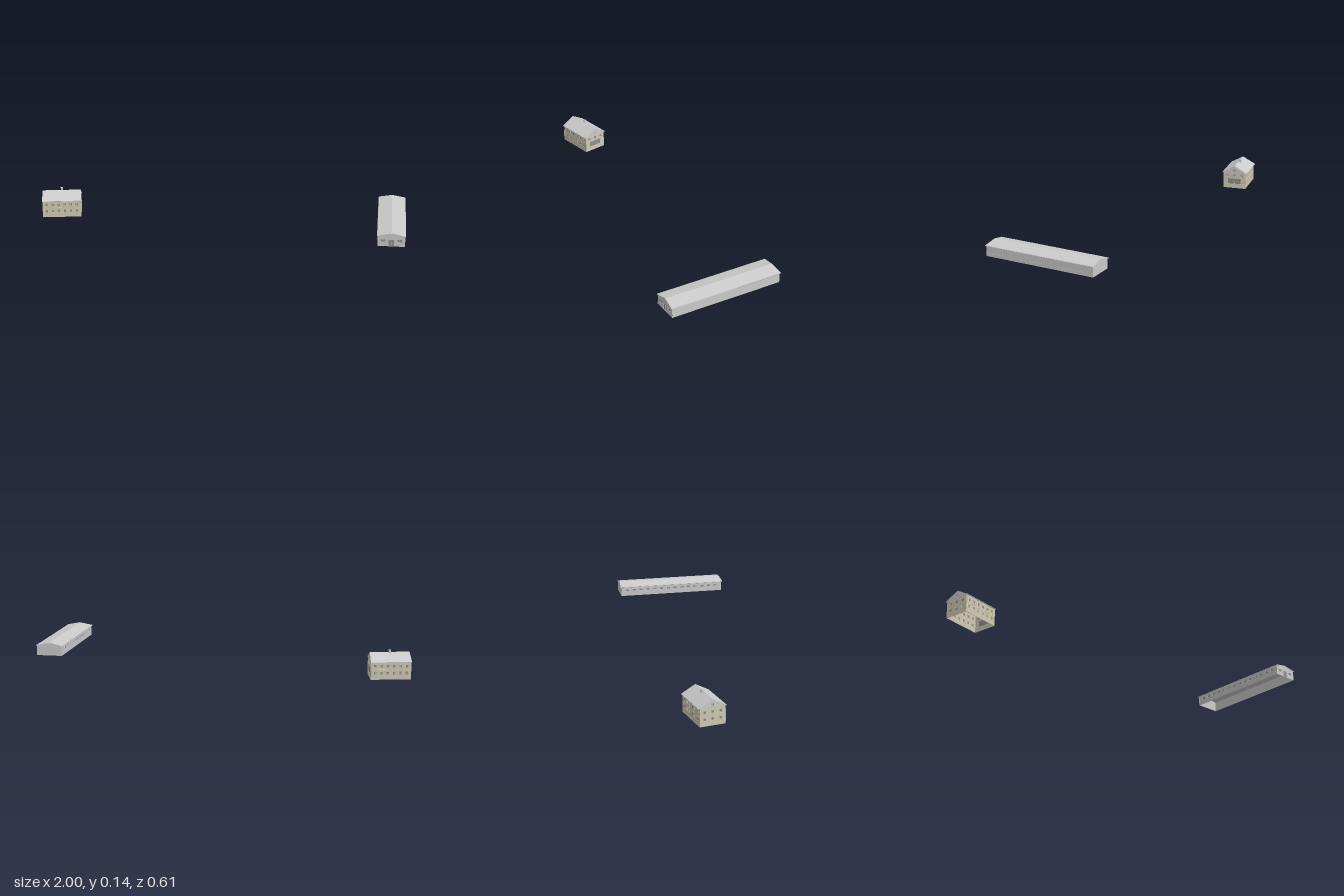
import * as THREE from 'three';

const grey = new THREE.MeshStandardMaterial({ color: 0xcccccc, side: THREE.DoubleSide });
const plaster = new THREE.MeshStandardMaterial({ color: 0xd0cab2, side: THREE.DoubleSide });
const glass = new THREE.MeshStandardMaterial({ color: 0x8c8f92, side: THREE.DoubleSide });

function add(parent, name, geometry, material, x = 0, y = 0, z = 0) {
  const mesh = new THREE.Mesh(geometry, material);
  mesh.name = name;
  mesh.position.set(x, y, z);
  parent.add(mesh);
  return mesh;
}
const box = (w, h, d) => new THREE.BoxGeometry(w, h, d);

// Flat wall facing +z with openings [x, y, w, h]; each opening gets a recessed pane and a mullion.
function wall(name, outline, openings, material) {
  const g = new THREE.Group();
  g.name = name;
  const shape = new THREE.Shape(outline.map(([x, y]) => new THREE.Vector2(x, y)));
  for (const [x, y, w, h] of openings) {
    const hole = new THREE.Path();
    hole.moveTo(x - w / 2, y - h / 2);
    hole.lineTo(x - w / 2, y + h / 2);
    hole.lineTo(x + w / 2, y + h / 2);
    hole.lineTo(x + w / 2, y - h / 2);
    hole.closePath();
    shape.holes.push(hole);
    add(g, 'windowPane', new THREE.PlaneGeometry(w, h), glass, x, y, -0.0015);
    add(g, 'mullion', box(0.001, h, 0.001), grey, x, y, -0.001);
  }
  const geo = new THREE.ExtrudeGeometry(shape, { depth: 0.002, bevelEnabled: false });
  add(g, 'wallPanel', geo, material, 0, 0, -0.002);
  return g;
}

// Gable roof with its ridge along x, a little shorter at the ridge than at the eaves.
function roof(length, ridgeLength, width, eaveY, rise, thick) {
  const geo = new THREE.BoxGeometry(length, thick, width, 1, 1, 2);
  const p = geo.attributes.position;
  for (let i = 0; i < p.count; i++) {
    if (Math.abs(p.getZ(i)) < 1e-6) {
      p.setY(i, p.getY(i) + rise);
      p.setX(i, p.getX(i) * ridgeLength / length);
    }
  }
  geo.translate(0, eaveY, 0);
  const flat = geo.toNonIndexed();
  flat.computeVertexNormals();
  return flat;
}

// Four walls, roof, gutters and corner downpipes; the ridge runs along local x.
function building(name, o) {
  const g = new THREE.Group();
  g.name = name;
  const { hl, hw, y0, y1, apex } = o;
  const rect = [[-hl, y0], [hl, y0], [hl, y1], [-hl, y1]];
  const end = [[-hw, y0], [hw, y0], [hw, y1], [-hw, y1]];
  const gable = [[-hw, y1], [hw, y1], [0, apex]];
  const sides = [
    ['frontWall', rect, o.front, hw, 0], ['backWall', rect, o.back, hw, Math.PI],
    ['leftEndWall', end, o.left, hl, Math.PI / 2], ['rightEndWall', end, o.right, hl, -Math.PI / 2],
  ];
  for (const [label, outline, openings, dist, turn] of sides) {
    const w = wall(label, outline, openings, o.material);
    w.rotation.y = turn;
    w.position.set(Math.sin(turn) * dist, 0, Math.cos(turn) * dist);
    g.add(w);
    if (outline === end) w.add(wall('gable', gable, o.gableWindows, grey));
  }
  add(g, 'roof', roof(o.roofL, o.ridgeL, o.roofW, o.eaveY, o.rise, 0.003), grey);
  for (const s of [-1, 1]) {
    const gutter = add(g, 'gutter', new THREE.CylinderGeometry(0.0016, 0.0016, o.roofL, 6), grey, 0, o.eaveY - 0.001, s * o.roofW / 2);
    gutter.rotation.z = Math.PI / 2;
    const low = y0 + 0.011, high = o.eaveY;
    add(g, 'downpipe', new THREE.CylinderGeometry(0.0007, 0.0007, high - low, 6), grey,
      -s * (hl - 0.002), (low + high) / 2, s * (hw + 0.003));
  }
  g.position.set(...o.position);
  g.rotation.y = o.turn;
  return g;
}

// Evenly spaced openings in a row.
const row = (n, span, y, w, h) =>
  Array.from({ length: n }, (_, i) => [(i / (n - 1) - 0.5) * span, y, w, h]);

export function createModel() {
  const model = new THREE.Group();
  model.name = 'twoBuildings';

  // Two-storey house
  const rows = (n, span) => [...row(n, span, 0.034, 0.012, 0.014), ...row(n, span, 0.069, 0.012, 0.014)];
  const house = building('house', {
    hl: 0.102, hw: 0.064, y0: 0, y1: 0.09, apex: 0.128, material: plaster,
    front: rows(6, 0.16), back: rows(6, 0.16),
    left: [[0.0, 0.04, 0.075, 0.03], ...row(3, 0.08, 0.074, 0.012, 0.014)],
    right: rows(3, 0.08), gableWindows: [[0, 0.104, 0.012, 0.012]],
    roofL: 0.208, ridgeL: 0.202, roofW: 0.14, eaveY: 0.09, rise: 0.039,
    position: [-0.877, 0, 0.0275], turn: 0.314,
  });
  add(house, 'chimney', box(0.01, 0.016, 0.01), grey, 0.001, 0.133, -0.008);
  add(house, 'chimneyCap', box(0.013, 0.002, 0.013), grey, 0.001, 0.141, -0.008);
  add(house, 'endDoor', box(0.002, 0.024, 0.016), plaster, 0.102, 0.012, -0.048);
  // String course between the storeys
  for (const s of [-1, 1]) add(house, 'stringCourse', box(0.204, 0.0015, 0.001), plaster, 0, 0.051, s * 0.0645);
  model.add(house);

  // Long low hall, standing on higher ground
  const hall = building('hall', {
    hl: 0.296, hw: 0.066, y0: 0.071, y1: 0.123, apex: 0.137, material: grey,
    front: row(14, 0.52, 0.104, 0.018, 0.01), back: [],
    left: [[0, 0.089, 0.026, 0.032], [-0.04, 0.1, 0.022, 0.012], [0.04, 0.1, 0.022, 0.012]],
    right: [], gableWindows: [],
    roofL: 0.602, ridgeL: 0.59, roofW: 0.138, eaveY: 0.1235, rise: 0.014,
    position: [0.891, 0, -0.001], turn: -1.4495,
  });
  for (const s of [-1, 1]) add(hall, 'plinth', box(0.592, 0.017, 0.001), grey, 0, 0.0795, s * 0.0662);
  model.add(hall);

  return model;
}
